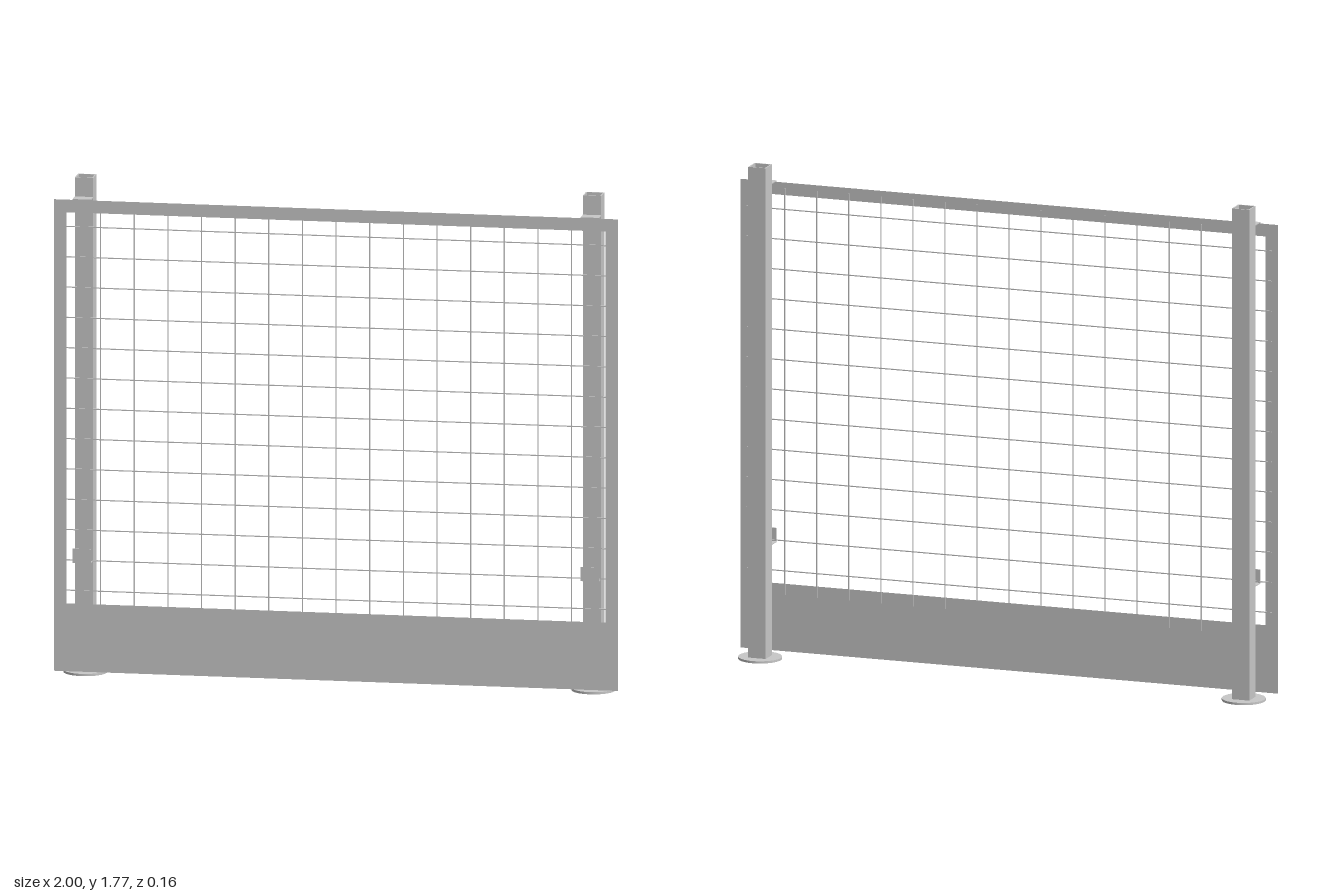
import * as THREE from 'three';

const steel = new THREE.MeshStandardMaterial({ color: 0xc8c8c8, side: THREE.DoubleSide });
steel.name = 'galvanised steel';

function box(name, w, h, d, x, y, z) {
  const mesh = new THREE.Mesh(new THREE.BoxGeometry(w, h, d), steel);
  mesh.name = name;
  mesh.position.set(x, y, z);
  return mesh;
}

function rect(target, x0, y0, x1, y1) {
  target.moveTo(x0, y0);
  target.lineTo(x1, y0);
  target.lineTo(x1, y1);
  target.lineTo(x0, y1);
  target.closePath();
  return target;
}

// Hollow square post on a round foot, with two hooks for the panel
function createPost(x) {
  const post = new THREE.Group();
  post.name = x > 0 ? 'leftPost' : 'rightPost';
  post.position.x = x;

  const section = rect(new THREE.Shape(), -0.0325, -0.0325, 0.0325, 0.0325);
  section.holes.push(rect(new THREE.Path(), -0.028, -0.028, 0.028, 0.028));
  const tubeGeo = new THREE.ExtrudeGeometry(section, { depth: 1.761, bevelEnabled: false });
  tubeGeo.rotateX(-Math.PI / 2);
  const tube = new THREE.Mesh(tubeGeo, steel);
  tube.name = 'postTube';
  tube.position.y = 0.008;
  post.add(tube);

  const foot = new THREE.Mesh(new THREE.CylinderGeometry(0.077, 0.077, 0.008, 40), steel);
  foot.name = 'footPlate';
  foot.position.y = 0.004;
  post.add(foot);

  // The upper hook turns down over the frame, the lower one turns up
  post.add(box('upperHookArm', 0.065, 0.003, 0.046, 0, 1.6995, 0.0555));
  post.add(box('upperHookLip', 0.065, 0.045, 0.002, 0, 1.678, 0.0775));
  post.add(box('lowerHookArm', 0.065, 0.003, 0.046, 0, 0.4045, 0.0555));
  post.add(box('lowerHookLip', 0.065, 0.05, 0.002, 0, 0.429, 0.0775));
  return post;
}

export function createModel() {
  const model = new THREE.Group();
  model.name = 'meshGuardFence';
  for (const side of [-1, 1]) model.add(createPost(side * 0.9));

  // Sheet frame with a deep kick plate at the bottom
  const outline = rect(new THREE.Shape(), -1, 0.015, 1, 1.697);
  outline.holes.push(rect(new THREE.Path(), -0.954, 0.257, 0.954, 1.652));
  const frame = new THREE.Mesh(new THREE.ShapeGeometry(outline), steel);
  frame.name = 'panelFrame';
  frame.position.z = 0.073;
  model.add(frame);

  // Wire mesh fixed to the back of the frame
  const wires = new THREE.Group();
  wires.name = 'wireMesh';
  const t = 0.0035;
  for (let i = -7; i <= 7; i++) {
    wires.add(box('verticalWire', t, 1.46, t, i * 0.1192, 0.947, 0.0708));
  }
  for (let i = 0; i < 13; i++) {
    wires.add(box('horizontalWire', 1.955, t, t, 0, 0.304 + i * 0.1081, 0.0708));
  }
  model.add(wires);
  return model;
}
